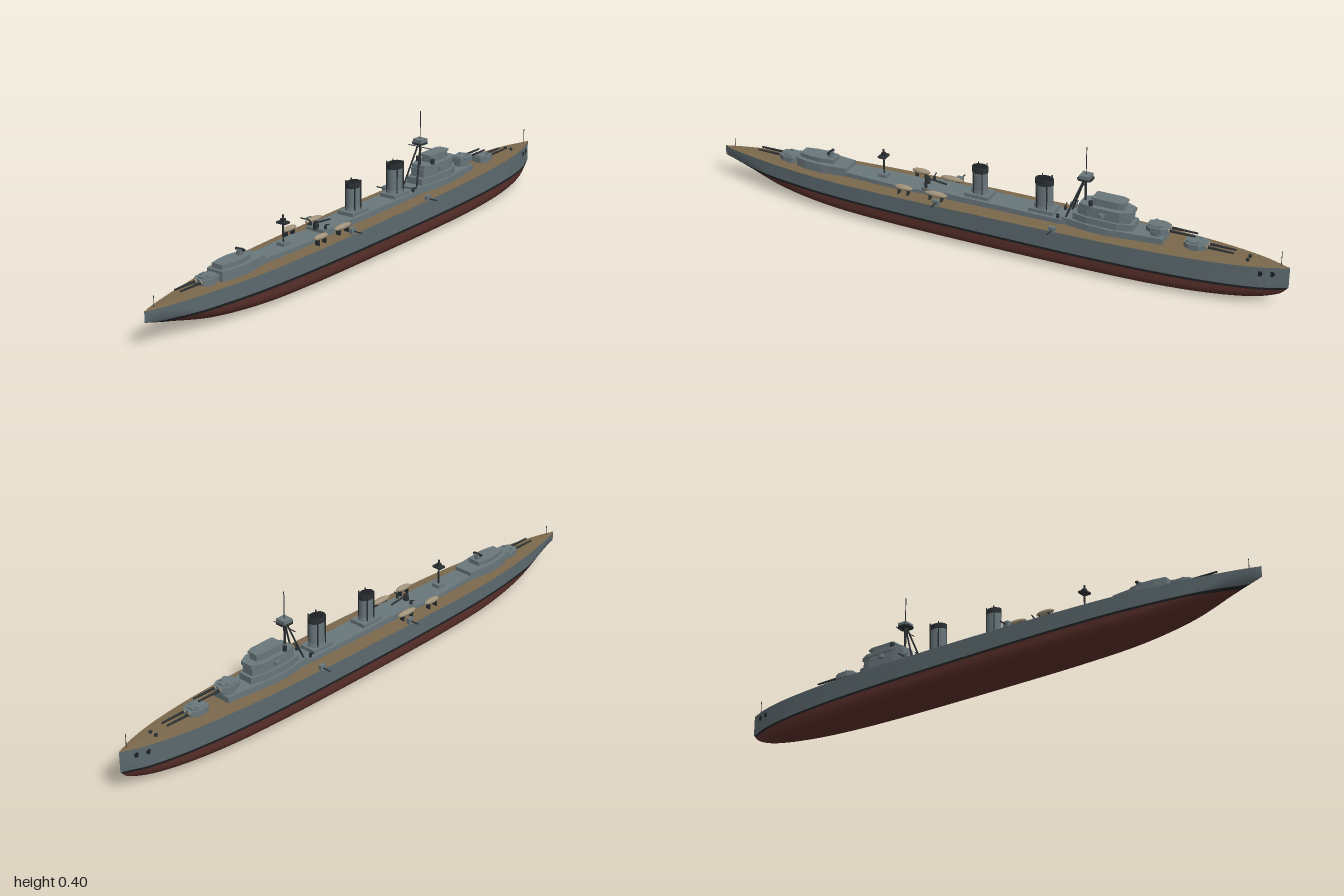
import * as THREE from 'three';

const mat = (color, side = THREE.FrontSide) => new THREE.MeshStandardMaterial({ color, side });
const GREY = mat(0x69767b), HULL = mat(0x5c696e, THREE.DoubleSide), RED = mat(0x582f2a, THREE.DoubleSide);
const BLACK = mat(0x1d2022, THREE.DoubleSide), WOOD = mat(0x7a684b, THREE.DoubleSide), DARK = mat(0x2b3033), BOAT = mat(0xa0927a);

// Hull stations: z, half width, keel height
const lines = new THREE.CatmullRomCurve3([
  [-1, 0, .07], [-.97, .013, .042], [-.9, .037, .019], [-.78, .061, .007], [-.6, .08, .001], [-.35, .091, 0], [0, .094, 0],
  [.3, .092, 0], [.55, .082, .004], [.75, .058, .02], [.9, .029, .053], [.97, .011, .071], [1, 0, .08],
].map(p => new THREE.Vector3(...p)), false, 'catmullrom', 0.5);
const stations = Array.from({ length: 97 }, (_, i) => {
  const p = lines.getPoint(i / 96);
  return { z: p.x, w: Math.max(0, p.y), b: Math.max(0, p.z) };
});
const deckY = z => z > 0 ? .128 - .019 * z + .004 * z * z : .128 - .011 * z;

// Half width of a station at height y, with a rounded bilge that sharpens towards the ends
function halfWidth(s, y) {
  const d = Math.min(.045, (deckY(s.z) - s.b) * .9);
  const u = THREE.MathUtils.clamp((y - s.b) / d, 0, 1), p = 1.4 + 1.5 * s.w / .094;
  return s.w * Math.pow(1 - Math.pow(1 - u, p), 1 / p);
}

// Skin through the stations; row(s) gives the [x, y] points of one section
function skin(name, row, material) {
  const pos = [], idx = [], n = row(stations[0]).length;
  stations.forEach((s, i) => {
    row(s).forEach(([x, y], j) => {
      pos.push(x, y, s.z);
      if (i && j) {
        const d = i * n + j, c = d - 1, b = d - n, a = b - 1;
        idx.push(a, b, c, b, d, c);
      }
    });
  });
  const g = new THREE.BufferGeometry();
  g.setAttribute('position', new THREE.Float32BufferAttribute(pos, 3));
  g.setIndex(idx);
  g.computeVertexNormals();
  const m = new THREE.Mesh(g, material);
  m.name = name;
  return m;
}
const strip = (s, y0, y1, n) => Array.from({ length: n + 1 }, (_, k) => {
  const lo = Math.max(s.b, y0), y = lo + (Math.max(lo, y1) - lo) * (k / n) ** 2;
  return [halfWidth(s, y), y];
});
const mirrorRow = r => r.map(([x, y]) => [-x, y]).reverse();

function add(parent, name, geo, material, x = 0, y = 0, z = 0) {
  const m = new THREE.Mesh(geo, material);
  m.name = name;
  m.position.set(x, y, z);
  parent.add(m);
  return m;
}
const box = (p, name, w, h, d, x, y, z, m = GREY) => add(p, name, new THREE.BoxGeometry(w, h, d), m, x, y, z);
const cyl = (p, name, r0, r1, h, x, y, z, m = GREY, n = 16) => add(p, name, new THREE.CylinderGeometry(r1, r0, h, n), m, x, y, z);

// Rod between two points
function rod(p, name, a, b, r, m = DARK, r2 = r) {
  const A = new THREE.Vector3(...a), B = new THREE.Vector3(...b), v = B.clone().sub(A);
  const o = cyl(p, name, r, r2, v.length(), 0, 0, 0, m, 8);
  o.position.copy(A).add(B).multiplyScalar(.5);
  o.quaternion.setFromUnitVectors(new THREE.Vector3(0, 1, 0), v.normalize());
}

// Deckhouse from a mirrored plan outline of [x, z] points
function house(p, name, half, y0, y1, m = GREY) {
  const pts = [...half, ...half.map(([x, z]) => [-x, z]).reverse()];
  const shape = new THREE.Shape(pts.map(([x, z]) => new THREE.Vector2(x, -z)));
  const g = new THREE.ExtrudeGeometry(shape, { depth: y1 - y0, bevelEnabled: false }).rotateX(-Math.PI / 2);
  return add(p, name, g, m, 0, y0, 0);
}

// Twin turret, barrels pointing along its own -z
function turret(parent, name, y, z, barbette, turn) {
  const g = new THREE.Group();
  g.name = name;
  cyl(g, 'barbette', .025, .025, barbette + .008, 0, -barbette / 2, 0, GREY, 24);
  house(g, 'gunhouse', [[.018, -.038], [.029, -.018], [.029, .016], [.019, .034]], .004, .021);
  house(g, 'gunhouseRoof', [[.013, -.026], [.022, -.014], [.022, .013], [.014, .028]], .021, .025);
  box(g, 'rangefinder', .062, .006, .008, 0, .019, .016);
  for (const s of [-1, 1]) {
    add(g, 'blastBag', new THREE.SphereGeometry(.007, 12, 8), BOAT, s * .011, .014, -.036);
    rod(g, 'barrel', [s * .011, .014, -.03], [s * .011, .014, -.125], .0045, DARK, .003);
    box(g, 'sightHood', .007, .005, .008, s * .014, .026, -.01);
  }
  g.position.set(0, y, z);
  if (turn) g.rotation.y = Math.PI;
  parent.add(g);
}

function funnel(parent, z, r, top) {
  const g = new THREE.Group(), y0 = .146, h = top - y0;
  g.name = 'funnel';
  box(g, 'funnelBase', .06, .014, .085, 0, y0 + .007, 0);
  const parts = [
    cyl(g, 'funnelCasing', 1, 1, h, 0, y0 + h / 2, 0, GREY, 28),
    cyl(g, 'funnelCap', 1.04, 1.04, .018, 0, top - .008, 0, DARK, 28),
    cyl(g, 'funnelMouth', .9, .9, .002, 0, top + .001, 0, BLACK, 28),
    cyl(g, 'funnelFoot', 1.15, 1.05, .012, 0, y0 + .018, 0, GREY, 28),
  ];
  parts.forEach(m => m.scale.set(r * .85, 1, r * 1.15));
  for (const s of [-1, 1]) for (const d of [-.5, .5])
    rod(g, 'steamPipe', [s * r * .8, y0, d * r * 1.3], [s * r * .8, top + .006, d * r * 1.3], .0022);
  g.position.z = z;
  parent.add(g);
}

export function createModel() {
  const ship = new THREE.Group();
  ship.name = 'warship';

  // Hull bands and deck
  ship.add(skin('hullBottom', s => {
    const r = strip(s, 0, .06, 14);
    return [...mirrorRow(r).slice(0, -1), ...r];
  }, RED));
  for (const side of [1, -1]) {
    const pick = r => side > 0 ? r : mirrorRow(r);
    ship.add(skin('waterlineBand', s => pick(strip(s, .06, .068, 3)), BLACK));
    ship.add(skin('hullSide', s => pick(strip(s, .068, deckY(s.z), 8)), HULL));
    // Hawse holes near the bow
    for (const [z, x] of [[-.915, .0335], [-.95, .0215]])
      rod(ship, 'hawseHole', [side * (x - .01), .116, z], [side * x, .116, z - .001], .009, BLACK);
  }
  ship.add(skin('deck', s => [1, .5, 0, -.5, -1].map(k => [k * s.w, deckY(s.z) + .002 * (1 - k * k)]), WOOD));

  // Long deckhouses
  house(ship, 'middleDeckhouse', [[.036, -.28], [.04, -.25], [.04, .2], [.034, .23]], .12, .148);
  house(ship, 'afterDeckhouse', [[.034, .2], [.043, .3], [.041, .38], [.033, .52]], .115, .137);
  house(ship, 'sternDeckhouse', [[.034, .51], [.044, .6], [.04, .66], [.03, .7]], .11, .15);
  house(ship, 'sternUpperHouse', [[.022, .565], [.03, .61], [.028, .65], [.02, .69]], .15, .165);
  cyl(ship, 'sternDirector', .011, .011, .018, 0, .173, .585);
  box(ship, 'sternRangefinder', .035, .006, .008, 0, .181, .585, DARK);

  // Bridge tiers
  house(ship, 'bridgeBase', [[.032, -.6], [.037, -.54], [.05, -.42], [.048, -.36], [.034, -.265]], .125, .156);
  house(ship, 'bridgeLower', [[.026, -.5], [.041, -.45], [.041, -.35], [.03, -.3]], .156, .178);
  house(ship, 'bridgeMiddle', [[.02, -.49], [.033, -.455], [.033, -.35], [.025, -.315]], .178, .206);
  house(ship, 'bridgePlatform', [[.022, -.495], [.039, -.46], [.039, -.36], [.026, -.32]], .206, .217);
  house(ship, 'wheelhouse', [[.016, -.465], [.022, -.445], [.022, -.37], [.018, -.365]], .217, .24);
  house(ship, 'wheelhouseRoof', [[.018, -.47], [.025, -.45], [.025, -.365], [.02, -.36]], .237, .243);
  for (const s of [-1, 1]) {
    cyl(ship, 'searchlight', .007, .007, .016, s * .03, .225, -.36, DARK);
    cyl(ship, 'bridgeWing', .01, .01, .012, s * .036, .194, -.4);
  }

  // Tripod foremast with fighting top
  rod(ship, 'foremast', [0, .15, -.33], [0, .3, -.33], .004);
  rod(ship, 'topmast', [0, .3, -.33], [0, .4, -.33], .0015);
  for (const s of [-1, 1]) rod(ship, 'mastLeg', [s * .028, .145, -.272], [s * .003, .295, -.328], .003);
  rod(ship, 'foreYard', [-.046, .278, -.33], [.046, .278, -.33], .0015);
  house(ship, 'fightingTopFloor', [[.014, -.353], [.022, -.34], [.022, -.315], [.014, -.306]], .29, .295, DARK);
  box(ship, 'fightingTop', .036, .013, .034, 0, .3, -.33);

  funnel(ship, -.19, .026, .258);
  funnel(ship, .035, .023, .25);

  // Main battery
  turret(ship, 'foreTurret', .139, -.7, .012, false);
  turret(ship, 'upperForeTurret', .166, -.575, .04, false);
  turret(ship, 'aftTurret', .12, .735, .008, true);

  // Main mast
  rod(ship, 'mainmast', [0, .13, .385], [0, .235, .385], .003);
  box(ship, 'mainmastPlatform', .034, .006, .026, 0, .21, .385, DARK);
  box(ship, 'mainmastBase', .03, .012, .03, 0, .142, .385);
  box(ship, 'mainmastLight', .012, .01, .012, 0, .218, .385, DARK);

  // Boat crane amidships
  cyl(ship, 'cranePost', .01, .008, .026, 0, .157, .225, DARK);
  rod(ship, 'craneBoom', [0, .165, .225], [0, .158, .155], .003);

  for (const s of [-1, 1]) {
    // Boats on chocks
    for (const [x, z, len] of [[.058, .165, .041], [.063, .28, .033]]) {
      add(ship, 'boat', new THREE.SphereGeometry(1, 20, 12), BOAT, s * x, .148, z).scale.set(.0115, .009, len);
      for (const d of [-.5, .5]) box(ship, 'boatChock', .016, .022, .004, s * x, .133, z + d * len, DARK);
    }
    // Secondary guns at the deck edge
    for (const z of [-.255, .15]) {
      box(ship, 'gunShield', .012, .018, .022, s * .087, .136, z);
      rod(ship, 'secondaryBarrel', [s * .087, .135, z], [s * .122, .135, z], .0022);
    }
    // Light guns on the deckhouse
    for (const z of [-.25, .215]) {
      cyl(ship, 'lightGunMount', .005, .005, .016, s * .03, .15, z, DARK, 10);
      rod(ship, 'lightGunBarrel', [s * .028, .16, z], [s * .044, .166, z], .002);
    }
  }

  // Breakwater, capstans and flagstaffs
  for (const s of [-1, 1]) cyl(ship, 'capstan', .005, .006, .008, s * .012, .142, -.87, DARK, 12);
  rod(ship, 'bowStaff', [0, .137, -.972], [0, .19, -.972], .001);
  rod(ship, 'sternStaff', [0, .112, .96], [0, .15, .96], .001);
  return ship;
}
